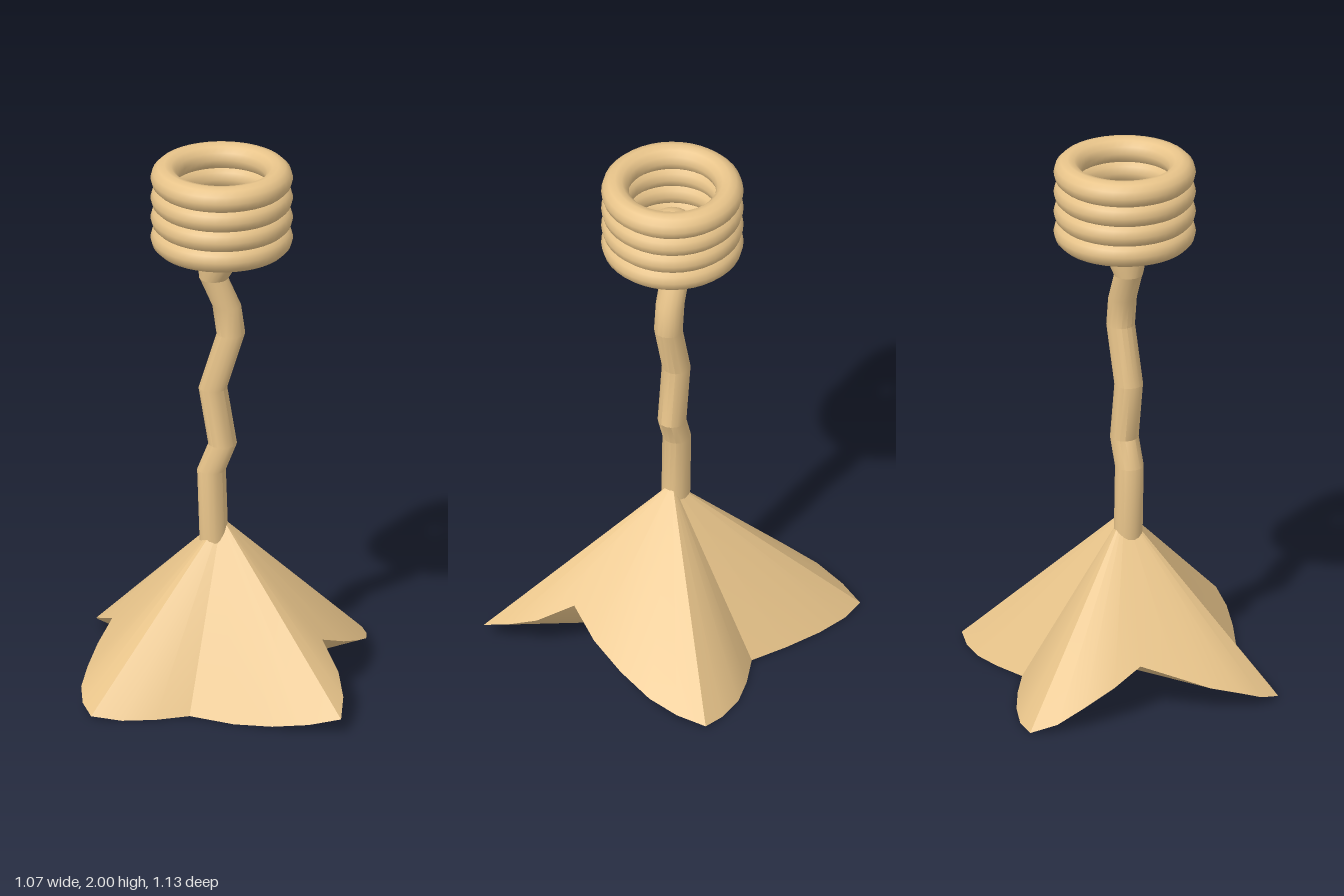
import * as THREE from 'three';
import { toCreasedNormals } from 'three/addons/utils/BufferGeometryUtils.js';

const material = new THREE.MeshStandardMaterial({ color: 0xe8c48a, roughness: 0.8 });
const AXIS_X = -0.013;

function add(group, name, geometry) {
  const mesh = new THREE.Mesh(geometry, material);
  mesh.name = name;
  group.add(mesh);
  return mesh;
}

function fromTriangles(points, crease) {
  const g = new THREE.BufferGeometry();
  g.setAttribute('position', new THREE.Float32BufferAttribute(points.flat(), 3));
  return toCreasedNormals(g, crease);
}

// Joins level circles, each given as [x, y, radius], from bottom to top
function loftCircles(rings, sides = 16) {
  const tris = [];
  const at = ([x, y, r], j) => {
    const a = (j / sides) * Math.PI * 2;
    return [x + r * Math.cos(a), y, r * Math.sin(a)];
  };
  for (let i = 0; i < rings.length - 1; i++) {
    for (let j = 0; j < sides; j++) {
      const a = at(rings[i], j), b = at(rings[i], j + 1);
      const c = at(rings[i + 1], j), d = at(rings[i + 1], j + 1);
      tris.push(a, c, b, b, c, d);
    }
  }
  const first = rings[0], last = rings[rings.length - 1];
  for (let j = 0; j < sides; j++) {
    tris.push([first[0], first[1], 0], at(first, j), at(first, j + 1));
    tris.push([last[0], last[1], 0], at(last, j + 1), at(last, j));
  }
  return fromTriangles(tris, 0.5);
}

// Four-pointed draped base: wavy rim joined to a peak and to a floor point
function baseGeometry() {
  const rim = [
    [-0.39, 0, -0.57], [-0.29, 0, -0.56], [-0.17, 0, -0.515], [-0.04, 0, -0.445],
    [0.085, 0, -0.365], [0.21, 0, -0.405], [0.32, 0, -0.425], [0.43, 0, -0.415],
    [0.52, 0.01, -0.39], [0.53, 0.03, -0.28], [0.52, 0.06, -0.165], [0.48, 0.11, -0.03],
    [0.42, 0.165, 0.105], [0.335, 0.225, 0.225], [0.385, 0.15, 0.35], [0.395, 0.1, 0.465],
    [0.38, 0.055, 0.565], [0.265, 0.03, 0.55], [0.135, 0.01, 0.51], [0, 0, 0.455],
    [-0.155, 0.005, 0.38], [-0.28, 0, 0.395], [-0.4, 0, 0.395], [-0.51, 0.01, 0.37],
    [-0.535, 0.03, 0.29], [-0.535, 0.06, 0.21], [-0.505, 0.09, 0.1], [-0.46, 0.135, -0.01],
    [-0.4, 0.18, -0.13], [-0.43, 0.13, -0.25], [-0.44, 0.08, -0.375], [-0.43, 0.03, -0.48],
  ];
  const peak = [AXIS_X, 0.62, 0], floor = [0, 0, 0];
  const tris = [];
  rim.forEach((p, i) => {
    const q = rim[(i + 1) % rim.length];
    tris.push(peak, q, p, floor, p, q);
  });
  return fromTriangles(tris, 0.4);
}

export function createModel() {
  const model = new THREE.Group();
  model.name = 'ringTopStand';

  add(model, 'drapedBase', baseGeometry());

  // Crooked stem
  const path = [
    [-0.04, 0.5], [-0.05, 0.81], [-0.01, 0.91], [-0.045, 1.13],
    [0.02, 1.34], [0.005, 1.45], [-0.042, 1.56],
  ];
  add(model, 'stem', loftCircles(path.map(([x, y]) => [x, y, 0.052])));

  // Flared neck and the ball it carries
  add(model, 'neck', loftCircles([[-0.042, 1.56, 0.053], [AXIS_X, 1.67, 0.09], [AXIS_X, 1.74, 0.09]], 20));
  add(model, 'ball', new THREE.SphereGeometry(0.092, 24, 16)).position.set(AXIS_X, 1.76, 0);

  // Stacked rings
  for (let i = 0; i < 4; i++) {
    const ring = add(model, `ring${i + 1}`, new THREE.TorusGeometry(0.207, 0.05, 12, 40));
    ring.rotation.x = Math.PI / 2;
    ring.position.set(AXIS_X, 1.95 - i * 0.077, 0);
  }

  // Thin spokes from ball to rings
  for (let i = 0; i < 4; i++) {
    const a = (i * Math.PI) / 2;
    const spoke = add(model, `spoke${i + 1}`, new THREE.CylinderGeometry(0.008, 0.008, 0.13, 8).rotateZ(Math.PI / 2));
    spoke.rotation.y = a;
    spoke.position.set(AXIS_X + 0.135 * Math.cos(a), 1.74, -0.135 * Math.sin(a));
  }
  return model;
}
